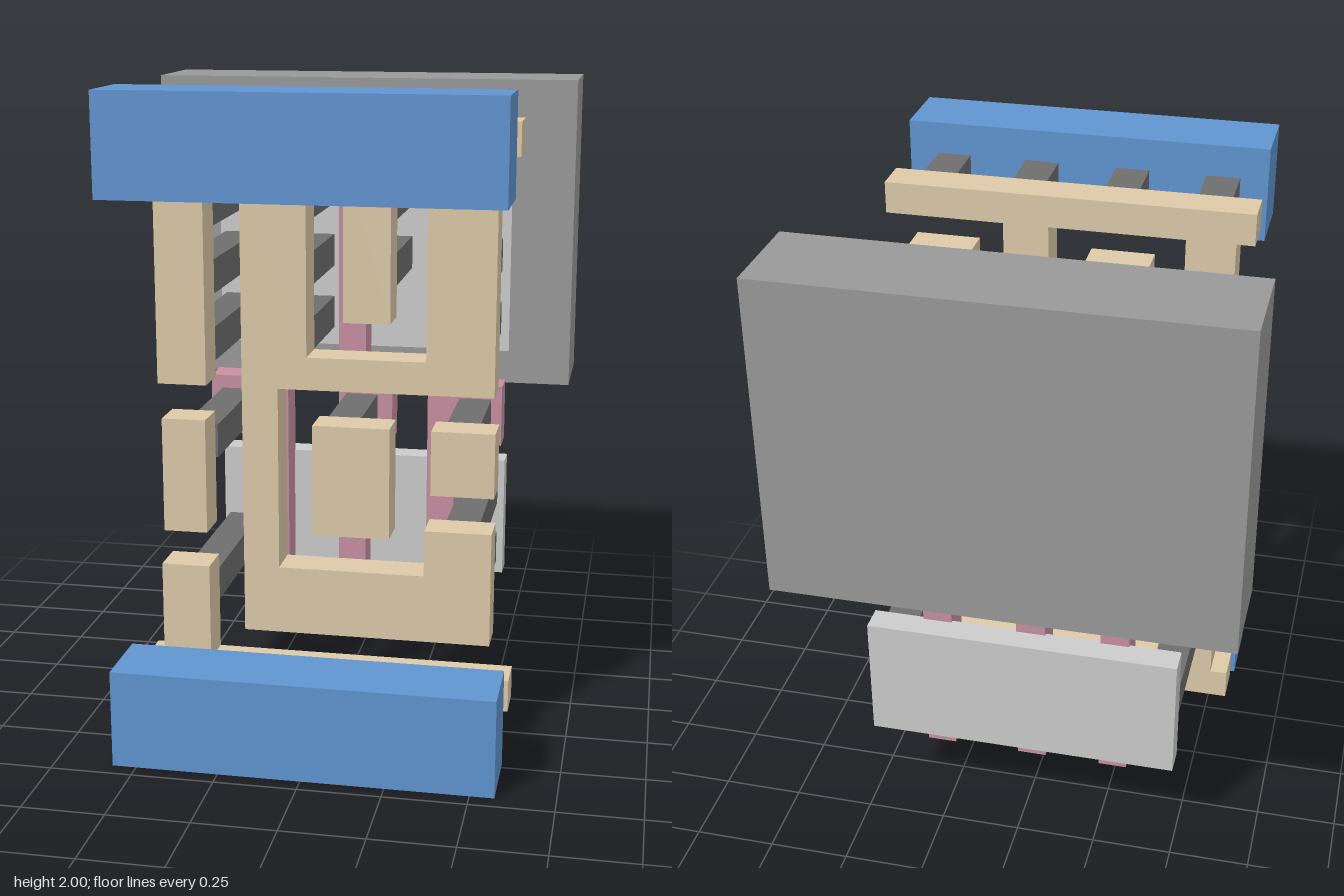
import * as THREE from 'three';

const paint = (color) => new THREE.MeshStandardMaterial({ color, flatShading: true });

export function createModel() {
  const model = new THREE.Group();
  const blue = paint(0x6094d0), tan = paint(0xdcc9a8), pink = paint(0xc68fa2);
  const dark = paint(0x6e6e6e), mid = paint(0x999999), grey = paint(0xcccccc);

  // Box given by its extents on each axis
  function box(name, mat, [x0, x1], [y0, y1], [z0, z1]) {
    const mesh = new THREE.Mesh(new THREE.BoxGeometry(x1 - x0, y1 - y0, z1 - z0), mat);
    mesh.position.set((x0 + x1) / 2, (y0 + y1) / 2, (z0 + z1) / 2);
    mesh.name = name;
    model.add(mesh);
  }

  // Flat outline extruded between two depths
  function plate(name, mat, outline, [z0, z1]) {
    const shape = new THREE.Shape(outline.map(([x, y]) => new THREE.Vector2(x, y)));
    const geo = new THREE.ExtrudeGeometry(shape, { depth: z1 - z0, bevelEnabled: false });
    const mesh = new THREE.Mesh(geo, mat);
    mesh.position.z = z0;
    mesh.name = name;
    model.add(mesh);
  }

  const metalZ = [0.2, 0.32], gateZ = [-0.38, -0.27];

  // Back well and the two active plates
  box('well', mid, [-0.69, 0.69], [0.97, 1.97], [-0.695, -0.38]);
  box('upperActive', grey, [-0.49, 0.49], [1.08, 1.7], [-0.455, -0.37]);
  box('lowerActive', grey, [-0.49, 0.485], [0.3, 0.7], [-0.455, -0.37]);

  // Gate strips, each with a side pad
  const gates = [[-0.33, -0.24, -0.505, -0.33], [-0.066, 0.026, 0.026, 0.115], [0.234, 0.325, 0.325, 0.48]];
  for (const [x0, x1, p0, p1] of gates) {
    box('gateStrip', pink, [x0, x1], [0.22, 1.785], gateZ);
    box('gatePad', pink, [p0, p1], [0.78, 0.98], gateZ);
  }

  // Front power bars, joined to the rails by short posts
  for (const [barY, postY] of [[0, 0.1], [1.7, 1.8]]) {
    box('powerBar', blue, [-0.573, 0.573], [barY, barY + 0.3], [0.475, 0.7]);
    for (const x of [-0.433, -0.148, 0.142, 0.428])
      box('railPost', dark, [x - 0.053, x + 0.053], [postY, postY + 0.1], [0.32, 0.475]);
  }

  // Rails with their legs
  plate('upperRail', tan, [
    [-0.573, 1.9], [-0.573, 1.8], [-0.517, 1.8], [-0.517, 1.09], [-0.365, 1.09], [-0.365, 1.8],
    [0.058, 1.8], [0.058, 1.3], [0.2, 1.3], [0.2, 1.8], [0.573, 1.8], [0.573, 1.9],
  ], metalZ);
  plate('lowerRail', tan, [
    [-0.573, 0.1], [0.573, 0.1], [0.573, 0.2], [-0.365, 0.2], [-0.365, 0.51],
    [-0.517, 0.51], [-0.517, 0.2], [-0.573, 0.2],
  ], metalZ);

  // Branching output track
  plate('outputTrack', tan, [
    [-0.253, 0.31], [0.512, 0.31], [0.512, 0.667], [0.308, 0.667], [0.308, 0.522], [-0.142, 0.522],
    [-0.142, 1.09], [0.512, 1.09], [0.512, 1.69], [0.308, 1.69], [0.308, 1.19], [-0.053, 1.19],
    [-0.053, 1.69], [-0.253, 1.69],
  ], metalZ);

  // Loose input blocks in front of the gate pads
  box('inputBlock', tan, [-0.507, -0.37], [0.62, 0.98], metalZ);
  box('inputBlock', tan, [-0.037, 0.2], [0.633, 0.98], metalZ);
  box('inputBlock', tan, [0.325, 0.517], [0.78, 0.98], metalZ);

  // Long contact posts: left edge and the bottoms of each post in that column
  const columns = [
    [-0.472, [1.56, 1.35, 1.14, 0.355]],
    [-0.205, [1.56, 1.35, 1.14]],
    [0.058, [1.56, 1.35]],
    [0.358, [1.56, 1.35, 1.14, 0.55, 0.34]],
    [-0.467, [0.83]], [-0.04, [0.83]], [0.34, [0.83]],
  ];
  for (const [x, bottoms] of columns)
    for (const y of bottoms)
      box('contactPost', dark, [x, x + 0.105], [y, y + 0.106], [-0.375, 0.2]);

  return model;
}
